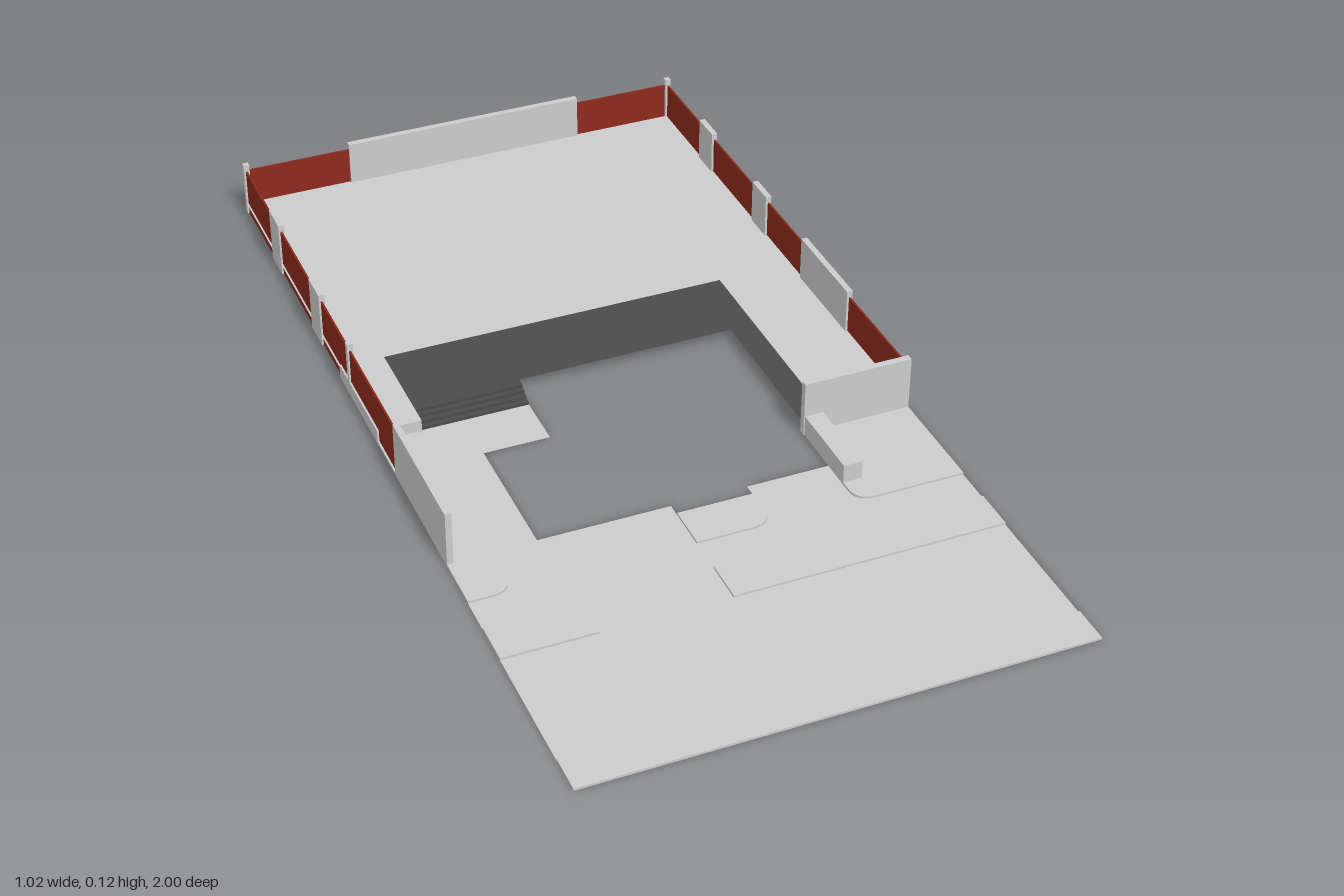
import * as THREE from 'three';

const material = (color) => new THREE.MeshStandardMaterial({ color, side: THREE.DoubleSide });

export function createModel() {
  const model = new THREE.Group();
  const grey = material(0xcccccc);
  const dark = material(0x4b4b4b);
  const red = material(0x8c2a1c);

  const add = (name, geometry, mat) => {
    const mesh = new THREE.Mesh(geometry, mat);
    mesh.name = name;
    model.add(mesh);
    return mesh;
  };

  // Box given by its limits on each axis; open boxes have no underside
  const box = (name, [x0, x1], [y0, y1], [z0, z1], mat = grey, open = false) => {
    const g = new THREE.BoxGeometry(x1 - x0, y1 - y0, z1 - z0);
    if (open) {
      const index = Array.from(g.index.array);
      index.splice(18, 6);
      g.setIndex(index);
      g.clearGroups();
    }
    g.translate((x0 + x1) / 2, (y0 + y1) / 2, (z0 + z1) / 2);
    return add(name, g, mat);
  };

  // Plan outline from [x, z, cornerRadius] points
  const outline = (points) => {
    const shape = new THREE.Shape();
    const v = points.map(([x, z]) => new THREE.Vector2(x, -z));
    points.forEach(([, , r = 0], i) => {
      const p = v[i];
      const towards = (q) => p.clone().add(q.clone().sub(p).setLength(r));
      const a = r ? towards(v[(i + v.length - 1) % v.length]) : p;
      if (i === 0) shape.moveTo(a.x, a.y);
      else shape.lineTo(a.x, a.y);
      if (r) {
        const b = towards(v[(i + 1) % v.length]);
        shape.quadraticCurveTo(p.x, p.y, b.x, b.y);
      }
    });
    return shape;
  };
  const sheet = (name, y, points, mat = grey) =>
    add(name, new THREE.ShapeGeometry(outline(points)).rotateX(-Math.PI / 2).translate(0, y, 0), mat);
  const slab = (name, points) =>
    add(name, new THREE.ExtrudeGeometry(outline(points),
      { depth: 0.005, bevelEnabled: false, curveSegments: 6 }).rotateX(-Math.PI / 2), grey);

  const L = -0.513, R = 0.511, F = 0.025, H = 0.122;

  // Street level, bordering the central opening
  sheet('streetGround', 0, [
    [L, 1], [R, 1], [R, 0.22], [0.32, 0.22], [0.32, 0.41], [0.28, 0.41], [0.28, 0.345],
    [0.105, 0.345], [0.105, 0.375], [-0.055, 0.375], [-0.055, 0.345], [-0.33, 0.345],
    [-0.33, 0.05], [-0.19, 0.05], [-0.19, -0.07], [-0.42, -0.07], [-0.42, -0.06], [L, -0.06],
  ]);

  // Raised pavements and traffic islands
  slab('farPavement', [[L, 0.92], [R, 0.92], [R, 1], [L, 1]]);
  slab('rightIsland', [[L, 0.55], [-0.32, 0.55], [-0.32, 0.64], [L, 0.64]]);
  slab('leftIsland', [[-0.055, 0.55], [R, 0.55], [R, 0.64], [-0.055, 0.64]]);
  slab('rightPavement', [[L, -0.06], [-0.425, -0.06], [-0.425, 0.47, 0.04], [L, 0.47]]);
  slab('middlePavement', [[-0.055, 0.375], [0.105, 0.375], [0.105, 0.47, 0.045], [-0.055, 0.47]]);
  slab('leftPavement', [[0.32, 0.22], [R, 0.22], [R, 0.47], [0.28, 0.47, 0.04], [0.28, 0.41], [0.32, 0.41]]);

  // Upper plaza with dark paving around the opening
  sheet('plazaFloor', F, [
    [L, -1], [R, -1], [R, 0.22], [0.335, 0.22], [0.335, -0.305], [L, -0.305],
  ]);
  sheet('darkPaving', F, [
    [-0.42, -0.305], [0.335, -0.305], [0.335, 0.22], [0.28, 0.22],
    [0.28, -0.125], [-0.19, -0.125], [-0.19, -0.105], [-0.42, -0.105],
  ], dark);

  // Stairs from the plaza to the street
  for (let i = 0; i < 3; i++) {
    const z = -0.105 + i * 0.012;
    box('stairStep', [-0.42, -0.19], [0, F * (3 - i) / 4], [z, z + 0.012], dark, true);
  }
  box('stairTopRiser', [-0.42, -0.19], [F * 0.75, F], [-0.106, -0.105], dark);

  // Planters
  box('stairPlanter', [L, -0.42], [0, 0.031], [-0.305, -0.06], grey, true);
  box('gatePlanter', [0.28, 0.32], [0, 0.045], [0.235, 0.41], grey, true);

  // Red boundary fence
  const fence = [0, 0.107];
  box('leftFence', [0.503, 0.507], fence, [-0.995, 0.22], red);
  box('rightFence', [-0.509, -0.505], fence, [-0.995, 0.05], red);
  box('backFence', [-0.505, 0.503], fence, [-0.995, -0.991], red);

  // Grey wall panels and posts set into the fence
  const wall = [0, H];
  const leftX = [0.498, R], rightX = [L, -0.5];
  const shared = [[-1, -0.987], [-0.79, -0.72], [-0.5, -0.43]];
  for (const z of [...shared, [-0.25, -0.03]]) box('leftWallPanel', leftX, wall, z);
  for (const z of [...shared, [-0.25, -0.238], [0.05, 0.355]]) box('rightWallPanel', rightX, wall, z);
  box('backWallPanel', [-0.27, 0.277], wall, [-1, -0.986]);
  box('gateWall', [0.278, R], wall, [0.22, 0.235]);

  return model;
}
